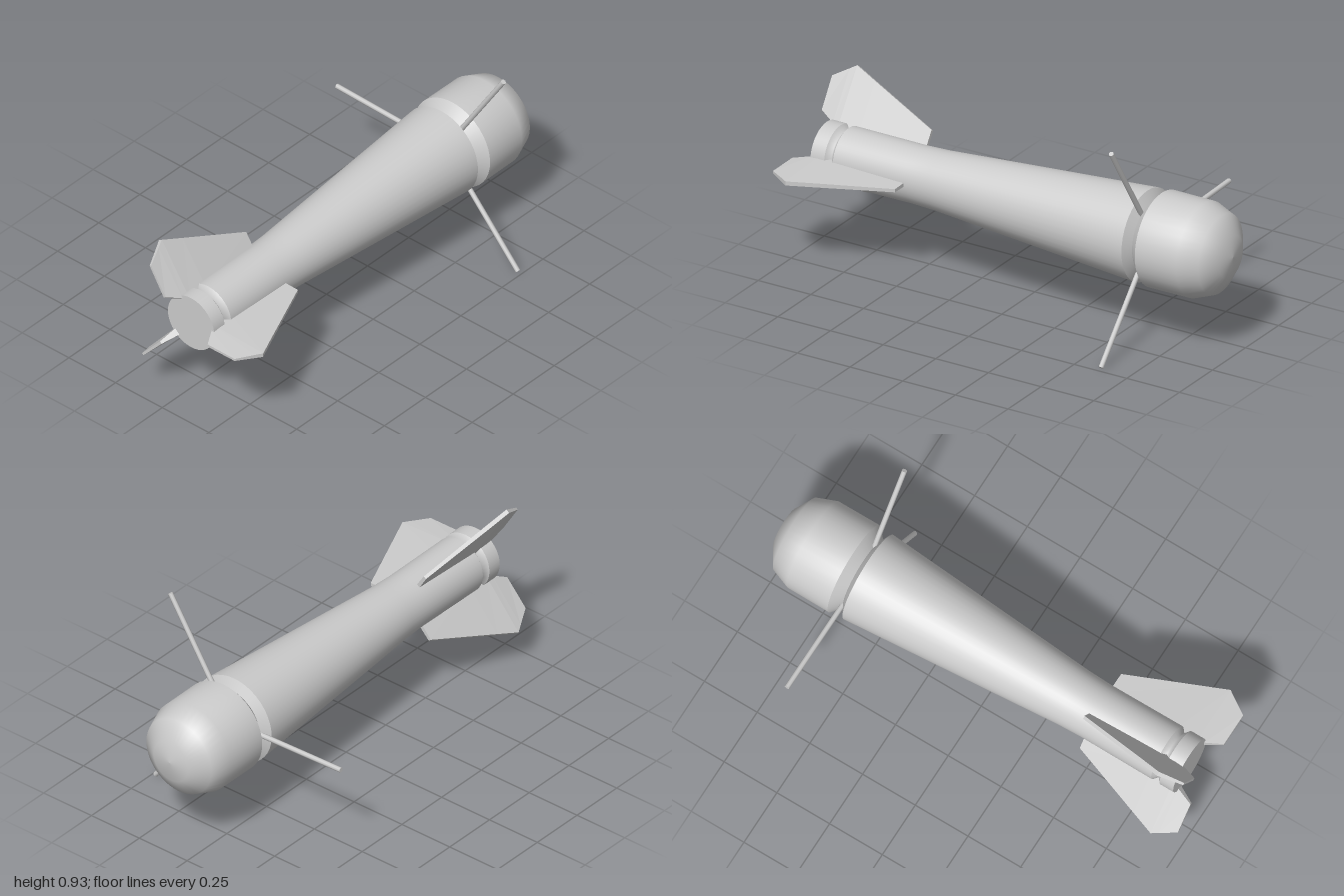
import * as THREE from 'three';

const material = new THREE.MeshStandardMaterial({ color: 0xcccccc });
const finMaterial = new THREE.MeshStandardMaterial({ color: 0xcccccc, flatShading: true });

// Turned part along the x axis from [x, radius] points, tail to nose
function turned(name, points) {
  const profile = points.map(([x, r]) => new THREE.Vector2(r, x));
  const geometry = new THREE.LatheGeometry(profile, 40).rotateZ(-Math.PI / 2);
  const mesh = new THREE.Mesh(geometry, material);
  mesh.name = name;
  return mesh;
}

// Tapered fin lofted along x; each station is [x, inner r, outer r, root half thickness, tip half thickness]
function finGeometry() {
  const stations = [
    [-1, 0.15, 0.295, 0.006, 0.005],
    [-0.93, 0.11, 0.34, 0.015, 0.008],
    [-0.9, 0.09, 0.36, 0.018, 0.009],
    [-0.8, 0.09, 0.317, 0.018, 0.009],
    [-0.49, 0.09, 0.185, 0.009, 0.007],
  ].map(([x, a, b, ta, tb]) => [[x, a, -ta], [x, a, ta], [x, b, tb], [x, b, -tb]]);
  const vertices = [];
  const quad = (a, b, c, d) => [a, b, c, a, c, d].forEach((v) => vertices.push(...v));
  for (let i = 0; i < stations.length - 1; i++) {
    const s = stations[i], t = stations[i + 1];
    for (let j = 0; j < 4; j++) {
      const k = (j + 1) % 4;
      quad(s[j], t[j], t[k], s[k]);
    }
  }
  quad(...stations[0]);
  quad(...stations.at(-1).slice().reverse());
  const geometry = new THREE.BufferGeometry();
  geometry.setAttribute('position', new THREE.Float32BufferAttribute(vertices, 3));
  geometry.computeVertexNormals();
  return geometry;
}

// Places copies of a radial part around the body; angles run from +z towards +y
function aroundAxis(group, name, geometry, mat, angles) {
  angles.forEach((angle, i) => {
    const mesh = new THREE.Mesh(geometry, mat);
    mesh.name = name + (i + 1);
    mesh.rotation.x = THREE.MathUtils.degToRad(90 - angle);
    group.add(mesh);
  });
}

export function createModel() {
  const model = new THREE.Group();
  model.name = 'finnedProjectile';
  const axis = new THREE.Group();
  axis.name = 'bodyAxis';
  axis.position.set(0, 0.44, 0.093);
  model.add(axis);

  // Body shell, split at the sharp edges
  axis.add(
    turned('tailCap', [[-0.93, 0], [-0.93, 0.124]]),
    turned('tailRing', [[-0.93, 0.124], [-0.865, 0.124]]),
    turned('tailGroove', [[-0.865, 0.124], [-0.845, 0.1], [-0.825, 0.123]]),
    turned('body', [[-0.825, 0.123], [-0.49, 0.121], [-0.38, 0.125], [-0.1, 0.146], [0.593, 0.197]]),
    turned('neckRear', [[0.593, 0.197], [0.617, 0.155]]),
    turned('neckFront', [[0.617, 0.155], [0.66, 0.203]]),
    turned('nose', [[0.66, 0.203], [0.855, 0.202], [0.94, 0.17], [0.99, 0.09], [1, 0]]),
  );

  // Three thin rods at the neck
  const rod = new THREE.CylinderGeometry(0.011, 0.011, 0.48, 8).translate(0.617, 0.34, 0);
  aroundAxis(axis, 'rod', rod, material, [57.4, 178.3, -47.8]);

  // Three tail fins
  aroundAxis(axis, 'tailFin', finGeometry(), finMaterial, [0, 122, -132]);
  return model;
}
